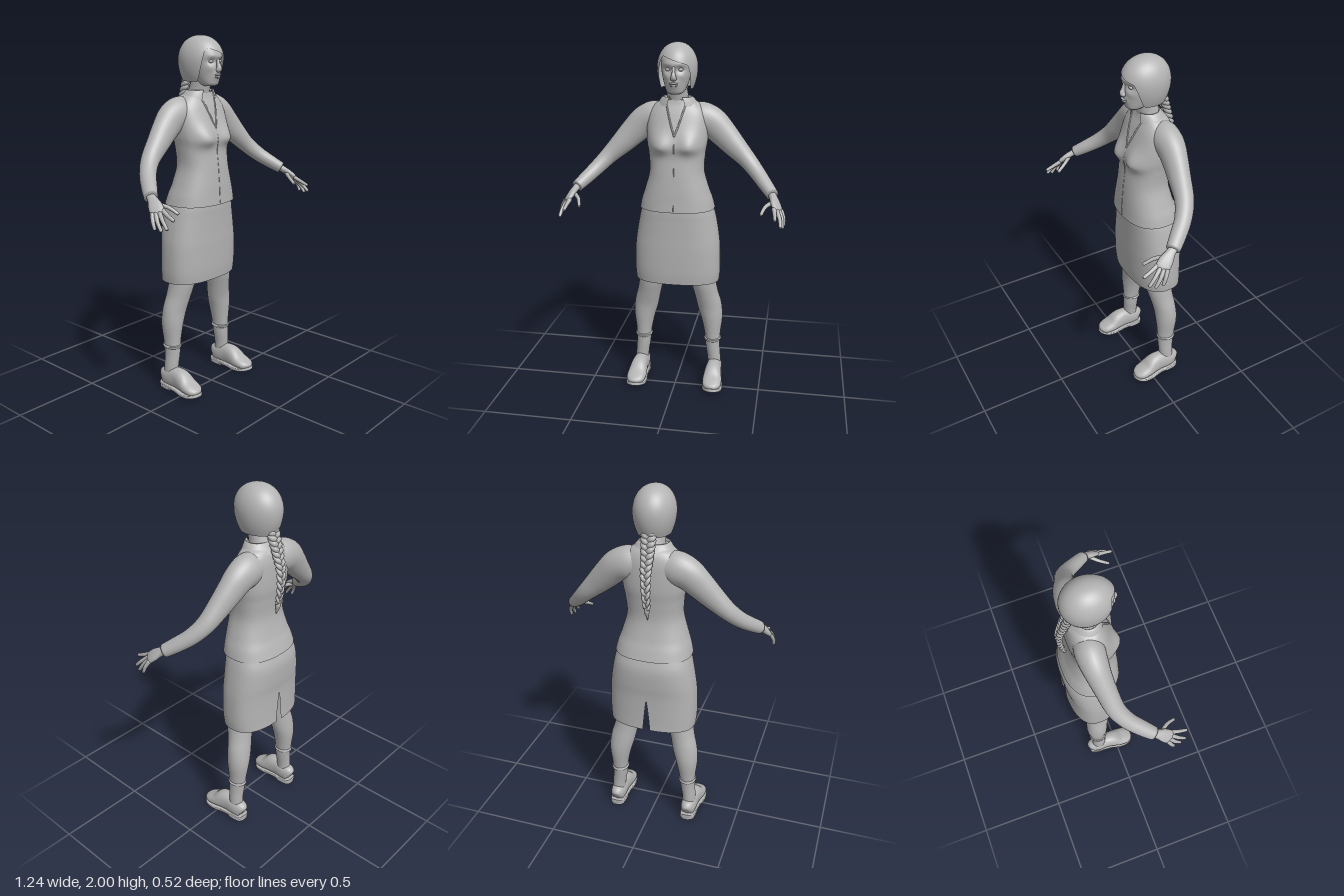
import * as THREE from 'three';
import { mergeVertices } from 'three/addons/utils/BufferGeometryUtils.js';

const V = (x, y, z) => new THREE.Vector3(x, y, z);
const spow = (v, e) => Math.sign(v) * Math.abs(v) ** e;
const bump = (x, y, cx, cy, sx, sy) => Math.exp(-(((x - cx) / sx) ** 2 + ((y - cy) / sy) ** 2) / 2);

// Catmull-Rom sampling of one row of numbers at t in 0..1
function sample(rows, t) {
  const f = Math.min(t, 0.999999) * (rows.length - 1), i = Math.floor(f), u = f - i;
  const at = k => rows[Math.max(0, Math.min(rows.length - 1, k))];
  return rows[0].map((_, c) => {
    const [a, b, d, e] = [at(i - 1)[c], at(i)[c], at(i + 1)[c], at(i + 2)[c]];
    return b + 0.5 * u * (d - a + u * (2 * a - 5 * b + 4 * d - e + u * (3 * (b - d) + e - a)));
  });
}
const smooth = (rows, n) => Array.from({ length: n + 1 }, (_, i) => sample(rows, i / n));

// Skin a list of equal-length rings of points
function loft(rings, capStart = true, capEnd = true) {
  const cap = r => {
    const c = r.reduce((s, p) => s.add(p), V(0, 0, 0)).divideScalar(r.length);
    return r.map(() => c);
  };
  const all = [...(capStart ? [cap(rings[0])] : []), ...rings, ...(capEnd ? [cap(rings.at(-1))] : [])];
  const n = all[0].length, index = [];
  for (let i = 0; i < all.length - 1; i++)
    for (let j = 0; j < n - 1; j++) {
      const a = i * n + j, b = a + n;
      index.push(a, a + 1, b, a + 1, b + 1, b);
    }
  let g = new THREE.BufferGeometry().setFromPoints(all.flat());
  g.setIndex(index);
  g = mergeVertices(g, 1e-5);
  g.computeVertexNormals();
  return g;
}

// Level ring from a row [y, halfWidth, zFront, zBack]; starts at the back, gap leaves a slit there
function level([y, w, zf, zb], p = 2.4, n = 48, gap = 0, start = Math.PI) {
  return Array.from({ length: n + 1 }, (_, j) => {
    const a = start + gap + (j / n) * (2 * Math.PI - 2 * gap);
    return V(w * spow(Math.sin(a), 2 / p), y, (zf + zb) / 2 + (zf - zb) / 2 * spow(Math.cos(a), 2 / p));
  });
}

// Tube along rows [x, y, z, radiusAcross, radiusUp]; hint gives the up side
function limb(rows, { steps = 24, sides = 18, hint = V(0, 0, 1), p = 2 } = {}) {
  const s = smooth(rows, steps), pos = s.map(r => V(r[0], r[1], r[2]));
  return loft(s.map((r, i) => {
    const t = pos[Math.min(i + 1, steps)].clone().sub(pos[Math.max(i - 1, 0)]).normalize();
    const v = hint.clone().addScaledVector(t, -hint.dot(t)).normalize(), u = t.clone().cross(v);
    return Array.from({ length: sides + 1 }, (_, j) => {
      const a = j / sides * 2 * Math.PI;
      return pos[i].clone().addScaledVector(u, r[3] * spow(Math.sin(a), 2 / p))
        .addScaledVector(v, (r[4] ?? r[3]) * spow(Math.cos(a), 2 / p));
    });
  }));
}

function mirrored(g) {
  const m = g.clone().scale(-1, 1, 1), ix = m.index.array;
  for (let i = 0; i < ix.length; i += 3) [ix[i], ix[i + 1]] = [ix[i + 1], ix[i]];
  m.computeVertexNormals();
  return m;
}

export function createModel() {
  const model = new THREE.Group();
  const grey = new THREE.MeshStandardMaterial({ color: 0xb4b4b4, side: THREE.DoubleSide });
  grey.name = 'plain grey';
  const add = (name, g) => {
    const m = new THREE.Mesh(g, grey);
    m.name = name;
    model.add(m);
  };
  const pair = (name, g) => { add(name + 'Left', g); add(name + 'Right', mirrored(g)); };

  // Jacket body with bust
  const jacket = [[1.088, .212, .066, -.245], [1.14, .2, .063, -.228], [1.2, .18, .06, -.207], [1.3, .153, .052, -.187],
    [1.4, .157, .04, -.192], [1.47, .168, .034, -.2], [1.55, .172, .018, -.2], [1.62, .162, -.004, -.195],
    [1.67, .125, -.025, -.178], [1.7, .07, -.033, -.145]];
  const bust = (x, y) => .036 * (bump(x, y, .08, 1.45, .045, y < 1.45 ? .028 : .05) + bump(x, y, -.08, 1.45, .045, y < 1.45 ? .028 : .05));
  const body = smooth(jacket, 60).map(r => level(r, 2.4, 72));
  body.flat().forEach(p => { if (p.z > -.05) p.z += bust(p.x, p.y); });
  add('jacketBody', loft(body, false));
  const frontZ = (x, y) => {
    const k = jacket.findIndex(r => r[0] >= y), a = jacket[Math.max(k - 1, 0)], b = jacket[Math.max(k, 1)];
    const m = a.map((q, c) => q + (b[c] - q) * (y - a[0]) / (b[0] - a[0]));
    return (m[2] + m[3]) / 2 + (m[2] - m[3]) / 2 * (1 - Math.abs(x / m[1]) ** 2.4) ** (1 / 2.4) + bust(x, y);
  };
  const seam = (pts, r) => limb(pts.map(([x, y]) => [x, y, frontZ(x, y), r]), { steps: 30, sides: 6 });
  add('frontSeam', seam([[0, 1.51], [0, 1.45], [0, 1.38], [0, 1.3], [0, 1.2], [0, 1.095]], .002));
  pair('lapelEdge', seam([[.058, 1.69], [.04, 1.63], [.02, 1.565], [0, 1.51]], .005));

  // Folded collar, open at the front
  const collar = [[1.664, .118, -.012, -.185], [1.69, .1, -.016, -.165], [1.712, .08, -.022, -.147], [1.695, .07, -.03, -.14]];
  add('collar', loft(smooth(collar, 10).map(r => level(r, 2.1, 40, .42, 0)), false, false));

  // Sleeves
  pair('sleeve', limb([[.07, 1.59, -.115, .08, .07], [.13, 1.588, -.118, .092, .078], [.19, 1.565, -.118, .086, .073],
    [.25, 1.51, -.11, .077, .064], [.31, 1.45, -.098, .066, .057], [.39, 1.372, -.078, .05, .05], [.45, 1.31, -.035, .043, .045],
    [.5, 1.26, .025, .038, .042], [.54, 1.222, .078, .033, .037]], { steps: 40, sides: 28 }));

  // Hands: palm, four fingers and thumb
  const back = V(.6, .75, .1);
  pair('palm', limb([[.535, 1.225, .07, .022, .02], [.547, 1.21, .098, .026, .018], [.56, 1.188, .128, .036, .017],
    [.572, 1.165, .155, .037, .013], [.577, 1.156, .166, .028, .007]], { hint: back, p: 2.4 }));
  const fingers = {
    indexFinger: [[.553, 1.172, .172], [.56, 1.152, .215], [.563, 1.135, .256]],
    middleFinger: [[.567, 1.163, .165], [.586, 1.13, .205], [.593, 1.095, .24]],
    ringFinger: [[.58, 1.158, .152], [.598, 1.12, .183], [.602, 1.083, .21]],
    littleFinger: [[.59, 1.158, .138], [.606, 1.12, .158], [.608, 1.086, .172]],
    thumb: [[.543, 1.192, .12], [.508, 1.178, .165], [.49, 1.15, .213]],
  };
  for (const [name, [a, b, c]] of Object.entries(fingers)) {
    const tip = c.map((q, i) => q + (c[i] - b[i]) * .1);
    pair(name, limb([[...a, .0125], [...b, .0105], [...c, .0085], [...tip, .003]], { steps: 14, sides: 10, hint: back }));
  }

  // Skirt with a slit at the back of the hem
  const skirt = [[.65, .243, .034, -.244], [.72, .248, .04, -.242], [.85, .245, .043, -.243], [.93, .236, .043, -.25],
    [1.02, .22, .044, -.252], [1.08, .205, .045, -.238], [1.15, .18, .04, -.21]];
  add('skirt', loft(smooth(skirt, 40).map(r =>
    level(r, 2.5, 64, Math.max(0, (.84 - r[0]) / .19) * .045)), false, false));

  // Legs and sock cuffs
  pair('leg', limb([[.224, .08, -.115, .038, .042], [.22, .15, -.113, .039, .043], [.212, .22, -.113, .042, .047],
    [.209, .3, -.116, .047, .053], [.204, .4, -.118, .063, .063], [.19, .48, -.113, .071, .064], [.171, .56, -.1, .069, .068],
    [.153, .65, -.088, .073, .077], [.135, .76, -.09, .085, .09], [.12, .9, -.1, .095, .1]], { steps: 44, sides: 28 }));
  pair('sockCuff', limb([[.21, .255, -.1145, .043, .049], [.21, .259, -.1145, .049, .055], [.21, .268, -.115, .051, .056],
    [.21, .274, -.115, .045, .051]], { steps: 10, sides: 28 }));

  // Shoes: upper, sole, heel
  const up = V(0, 1, 0);
  pair('shoeUpper', limb([[.222, .062, -.176, .018, .028], [.222, .068, -.162, .037, .05], [.223, .073, -.12, .045, .056],
    [.224, .079, -.065, .045, .062], [.225, .076, -.022, .05, .058], [.227, .058, .025, .056, .039],
    [.229, .047, .07, .053, .028], [.23, .041, .096, .037, .02], [.23, .037, .107, .015, .01]],
  { steps: 36, sides: 28, hint: up, p: 2.3 }));
  pair('shoeSole', limb([[.222, .026, -.182, .015, .011], [.222, .026, -.17, .038, .012], [.223, .025, -.11, .047, .012],
    [.225, .021, -.04, .05, .012], [.228, .018, .02, .06, .012], [.23, .021, .07, .056, .012],
    [.23, .027, .1, .036, .011], [.23, .03, .112, .012, .009]], { steps: 32, sides: 28, hint: up, p: 5 }));
  pair('shoeHeel', limb([[.222, .012, -.18, .018, .012], [.222, .012, -.168, .038, .012], [.223, .012, -.13, .046, .012],
    [.223, .012, -.09, .046, .012]], { steps: 14, sides: 28, hint: up, p: 5 }));

  // Neck and head with eye sockets, cheeks and muzzle
  add('neck', limb([[0, 1.63, -.105, .075], [0, 1.7, -.09, .06], [0, 1.76, -.075, .056], [0, 1.82, -.07, .056]]));
  const head = smooth([[1.733, .028, .018, -.04], [1.745, .047, .034, -.07], [1.785, .064, .04, -.12], [1.84, .078, .044, -.15],
    [1.9, .085, .048, -.17], [1.95, .08, .02, -.17], [1.985, .04, -.03, -.12]], 44).map(r => level(r, 2.2, 80));
  head.flat().forEach(p => {
    const x = Math.abs(p.x);
    if (p.z > -.03) p.z += -.015 * bump(x, p.y, .034, 1.864, .016, .012) + .007 * bump(x, p.y, .045, 1.83, .016, .016)
      + .01 * bump(x, p.y, 0, 1.79, .022, .018) + .004 * bump(x, p.y, .03, 1.89, .025, .008);
  });
  add('head', loft(head));
  add('nose', limb([[0, 1.88, .043, .008, .007], [0, 1.85, .05, .009, .01], [0, 1.83, .055, .014, .015],
    [0, 1.818, .052, .018, .013], [0, 1.81, .044, .01, .006]], { steps: 16 }));
  const ball = (x, y, z, a, b, c) => new THREE.SphereGeometry(1, 20, 14).scale(a, b, c).translate(x, y, z);
  pair('eye', ball(.034, 1.864, .026, .014, .009, .011));
  add('upperLip', ball(0, 1.793, .048, .024, .006, .011));
  add('lowerLip', ball(0, 1.782, .046, .02, .007, .011));

  // Hair cap: fringe over the brow, longer sides and back
  const hair = Array.from({ length: 30 }, (_, i) => Array.from({ length: 73 }, (_, j) => {
    const a = Math.PI + j / 72 * 2 * Math.PI, sx = Math.sin(a), cz = Math.cos(a);
    const side = THREE.MathUtils.smoothstep(-cz, -.8, -.42);
    const low = THREE.MathUtils.lerp(1.912 - .035 * sx, 1.757, side);
    const t = 1 - i / 29, y = 2 - (2 - low) * t * t, h = (y - 1.868) / .132;
    const r = h > 0 ? Math.sqrt(Math.max(0, 1 - h * h)) ** .93 : 1 - .3 * h * h;
    return V(.11 * r * sx, y, -.08 + (cz > 0 ? .142 : .132) * r * cz);
  }));
  add('hair', loft(hair, false, false));

  // Three-strand braid hanging down the back
  const spine = [[0, 1.79, -.165], [0, 1.73, -.185], [0, 1.66, -.208], [0, 1.58, -.23], [0, 1.48, -.232], [0, 1.385, -.218]];
  for (let k = 0; k < 3; k++) {
    const rows = Array.from({ length: 49 }, (_, i) => {
      const t = i / 48, [, y, z] = sample(spine, t), a = t * 8.5 * Math.PI + k * 2 * Math.PI / 3, s = 1 - .55 * t;
      return [.026 * s * Math.sin(a), y, z + .012 * s * Math.sin(2 * a), .0185 * s, .016 * s];
    });
    add('braidStrand' + (k + 1), limb(rows, { steps: 120, sides: 10 }));
  }
  add('braidTuft', limb([[0, 1.4, -.221, .008], [0, 1.375, -.217, .014], [0, 1.35, -.212, .01], [0, 1.318, -.205, .001]]));
  return model;
}
